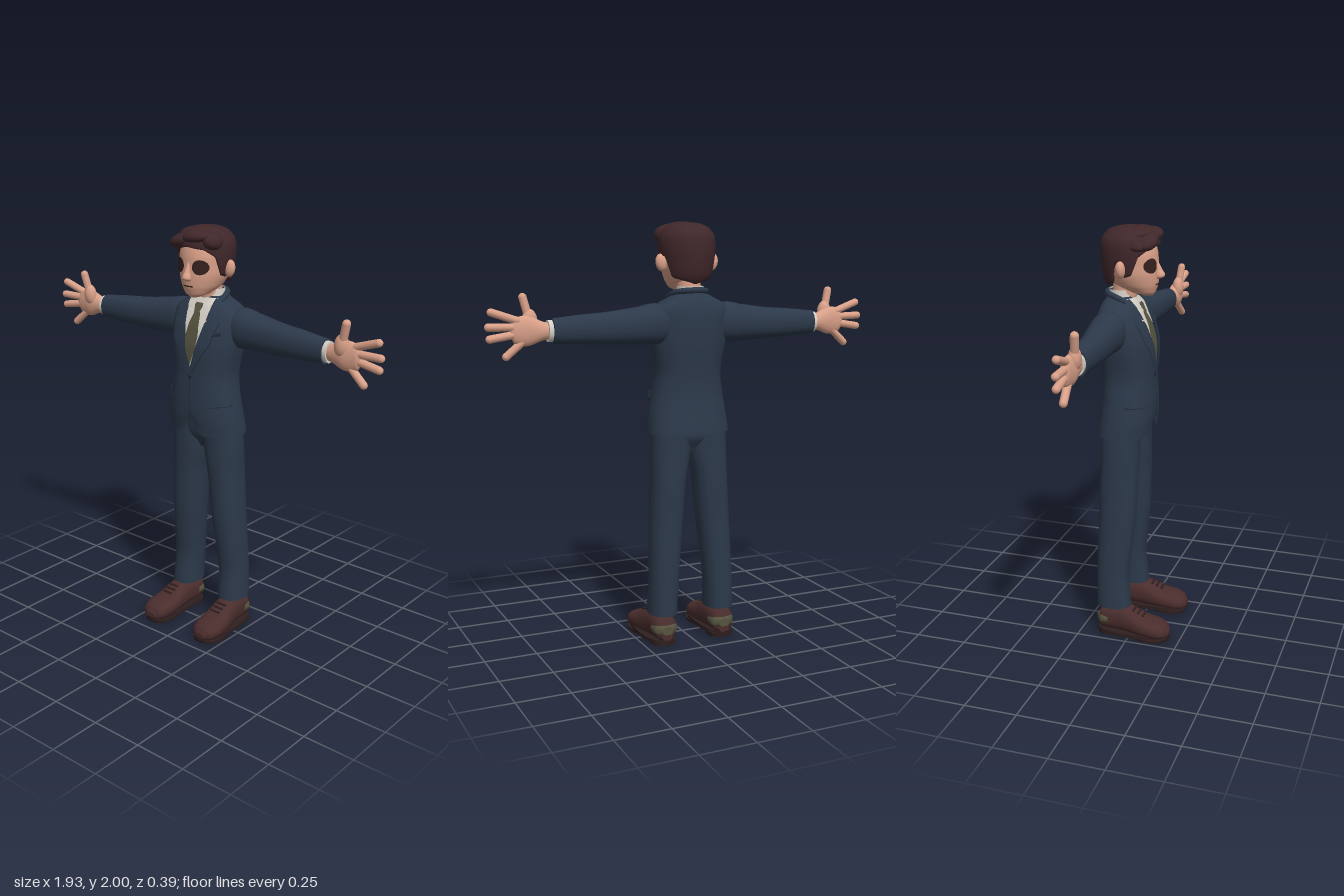
import * as THREE from 'three';

const mat = (name, color, side = THREE.FrontSide) => {
  const m = new THREE.MeshStandardMaterial({ color, side });
  m.name = name;
  return m;
};

// Cross-sections are [y, cx, cz, rx, rz]; smooth() adds rounded steps between them
function smooth(rings, steps = 5) {
  const out = [];
  for (let i = 0; i < rings.length - 1; i++) {
    const [p, a, b, q] = [rings[Math.max(i - 1, 0)], rings[i], rings[i + 1], rings[Math.min(i + 2, rings.length - 1)]];
    for (let s = 0; s < steps; s++) {
      const t = s / steps;
      out.push(a.map((v, k) => {
        if (k === 0) return v + (b[0] - v) * t;
        const m0 = (b[k] - p[k]) / 2, m1 = (q[k] - v) / 2;
        return v + m0 * t + (3 * (b[k] - v) - 2 * m0 - m1) * t * t + (2 * (v - b[k]) + m0 + m1) * t * t * t;
      }));
    }
  }
  out.push(rings[rings.length - 1]);
  return out;
}

function ringAt(rings, y) {
  let i = 0;
  while (i < rings.length - 2 && rings[i + 1][0] < y) i++;
  const t = THREE.MathUtils.clamp((y - rings[i][0]) / (rings[i + 1][0] - rings[i][0]), 0, 1);
  return rings[i].map((v, k) => v + (rings[i + 1][k] - v) * t);
}

const pow = (v, n) => Math.sign(v) * Math.abs(v) ** (2 / n);
const onRing = ([y, cx, cz, rx, rz], a, n) => [cx + rx * pow(Math.sin(a), n), y, cz + rz * pow(Math.cos(a), n)];

// Depth of the front of a lofted body at x, y
function frontZ(rings, x, y, off, n) {
  const [, , cz, rx, rz] = ringAt(rings, y);
  const f = Math.min(Math.abs(x) / (rx + off), 1);
  return cz + (rz + off) * (1 - f ** n) ** (1 / n);
}

// Grid of points, closed around or open
function grid(rows, cols, fn, closed, caps) {
  const pos = [], idx = [];
  const w = closed ? cols : cols + 1;
  for (let i = 0; i <= rows; i++) for (let j = 0; j < w; j++) pos.push(...fn(i, j));
  for (let i = 0; i < rows; i++) for (let j = 0; j < cols; j++) {
    const k = (j + 1) % w, a = i * w + j, b = i * w + k, c = a + w, d = b + w;
    idx.push(a, b, d, a, d, c);
  }
  if (caps) for (const i of [0, rows]) {
    const base = pos.length / 3, mid = [0, 0, 0];
    for (let j = 0; j < w; j++) {
      const p = fn(i, j);
      pos.push(...p);
      p.forEach((v, k) => { mid[k] += v / w; });
    }
    pos.push(...mid);
    for (let j = 0; j < w; j++) {
      const k = (j + 1) % w;
      idx.push(base + w, base + (i ? j : k), base + (i ? k : j));
    }
  }
  const g = new THREE.BufferGeometry();
  g.setAttribute('position', new THREE.Float32BufferAttribute(pos, 3));
  g.setIndex(idx);
  g.computeVertexNormals();
  return g;
}

function loft(rings, { n = 2, cols = 32, caps = true } = {}) {
  const r = smooth(rings);
  return grid(r.length - 1, cols, (i, j) => onRing(r[i], j / cols * Math.PI * 2, n), true, caps);
}
// Lofts running along x [x, y, z, ry, rz] and along z [z, x, y, rx, ry]
const loftX = (rings, o) => loft(rings.map(([s, y, z, ry, rz]) => [s, -y, z, ry, rz]), o).rotateZ(-Math.PI / 2);
const loftZ = (rings, o) => loft(rings.map(([s, x, y, rx, ry]) => [s, x, -y, rx, ry]), o).rotateX(Math.PI / 2);

function mirrored(geo) {
  const g = geo.clone().scale(-1, 1, 1), ix = g.index.array;
  for (let i = 0; i < ix.length; i += 3) [ix[i], ix[i + 1]] = [ix[i + 1], ix[i]];
  return g;
}

function capsule(a, b, r) {
  const A = new THREE.Vector3(...a), d = new THREE.Vector3(...b).sub(A), len = d.length();
  return new THREE.CapsuleGeometry(r, len - r, 6, 12)
    .applyQuaternion(new THREE.Quaternion().setFromUnitVectors(new THREE.Vector3(0, 1, 0), d.clone().normalize()))
    .translate(...A.addScaledVector(d, 0.5).toArray());
}

const ball = (r, c, rot = 0) => new THREE.SphereGeometry(1, 24, 16).scale(...r).rotateZ(rot).translate(...c);

export function createModel() {
  const root = new THREE.Group();
  root.name = 'suitedMan';
  const suit = mat('navy suit', 0x2c394a, THREE.DoubleSide), skin = mat('skin', 0xd9a088);
  const hairMat = mat('dark brown hair', 0x40272a), leather = mat('brown leather', 0x4a2d2d);
  const soleMat = mat('dark sole', 0x2f1f20), olive = mat('olive', 0x55533f, THREE.DoubleSide);
  const white = mat('shirt white', 0xd6d0c6, THREE.DoubleSide), dark = mat('dark eye', 0x35201f, THREE.DoubleSide);
  const trim = mat('dark navy trim', 0x1e2835, THREE.DoubleSide);
  const add = (name, geo, m) => {
    const mesh = new THREE.Mesh(geo, m);
    mesh.name = name;
    root.add(mesh);
  };
  const pair = (name, geo, m) => {
    add('left ' + name, geo, m);
    add('right ' + name, mirrored(geo), m);
  };

  // Jacket body, with the hem cut away at the front
  const torso = smooth([[1.02, 0, -0.065, 0.198, 0.13], [1.1, 0, -0.055, 0.19, 0.129], [1.2, 0, -0.049, 0.174, 0.123],
    [1.31, 0, -0.053, 0.162, 0.121], [1.45, 0, -0.062, 0.184, 0.125], [1.55, 0, -0.077, 0.192, 0.113],
    [1.605, 0, -0.088, 0.187, 0.096], [1.635, 0, -0.092, 0.145, 0.083], [1.66, 0, -0.093, 0.095, 0.069],
    [1.675, 0, -0.092, 0.072, 0.062]]);
  add('jacket', grid(torso.length - 1, 64, (i, j) => {
    const p = onRing(torso[i], j / 64 * Math.PI * 2, 2.4);
    const cut = p[2] > 0 ? Math.max(0, 1 - Math.abs(p[0]) / 0.06) * 0.07 : 0;
    p[1] += cut * Math.max(0, 1 - (p[1] - 1.02) / 0.15);
    return p;
  }, true, false), suit);

  // Panels laid over the jacket between an inner and an outer edge
  const panel = (inner, outer, off, vs = 16, us = 8) => {
    const at = (pts, t) => {
      const f = t * (pts.length - 1), i = Math.min(Math.floor(f), pts.length - 2);
      return pts[i].map((v, k) => v + (pts[i + 1][k] - v) * (f - i));
    };
    return grid(vs, us, (i, j) => {
      const a = at(inner, i / vs), b = at(outer, i / vs), u = j / us;
      const x = a[0] + (b[0] - a[0]) * u, y = a[1] + (b[1] - a[1]) * u;
      return [x, y, frontZ(torso, x, y, off, 2.4)];
    }, false, false);
  };
  const flip = (pts) => pts.map(([x, y]) => [-x, y]);
  const symmetric = (name, edge, off, m) => add(name, panel(flip(edge), edge, off), m);
  symmetric('shirt front', [[0, 1.345], [0.03, 1.46], [0.066, 1.59], [0.07, 1.668]], 0.004, white);
  symmetric('tie', [[0, 1.36], [0.03, 1.44], [0.036, 1.5], [0.028, 1.56], [0.017, 1.605]], 0.01, olive);
  symmetric('tie knot', [[0.014, 1.6], [0.024, 1.635], [0.02, 1.645]], 0.015, olive);
  pair('shirt collar wing', panel([[0.04, 1.592], [0.017, 1.642], [0.02, 1.67]], [[0.045, 1.592], [0.07, 1.63], [0.075, 1.668]], 0.01), white);
  pair('lapel', panel([[0.002, 1.335], [0.036, 1.46], [0.063, 1.57]], [[0.012, 1.33], [0.1, 1.47], [0.128, 1.57]], 0.014), suit);
  pair('collar front', panel([[0.063, 1.575], [0.068, 1.62], [0.07, 1.67]], [[0.112, 1.588], [0.106, 1.62], [0.09, 1.662]], 0.015), suit);
  pair('lapel edge', panel([[0.012, 1.33], [0.1, 1.47], [0.128, 1.57]], [[0.016, 1.328], [0.104, 1.468], [0.132, 1.57]], 0.009, 16, 1), trim);
  pair('pocket flap', panel([[0.105, 1.172], [0.105, 1.208]], [[0.181, 1.178], [0.177, 1.214]], 0.01, 3, 14), suit);
  pair('pocket shadow line', panel([[0.103, 1.168], [0.103, 1.174]], [[0.182, 1.173], [0.181, 1.18]], 0.006, 1, 14), trim);
  add('breast pocket', panel([[0.085, 1.502], [0.085, 1.517]], [[0.145, 1.512], [0.145, 1.527]], 0.007, 2, 8), trim);
  add('front closing edge', panel([[-0.002, 1.09], [-0.002, 1.33]], [[0.002, 1.09], [0.002, 1.33]], 0.003, 12, 1), trim);
  add('button', ball([0.011, 0.011, 0.005], [0, 1.305, 0.072]), trim);
  add('jacket collar', new THREE.TubeGeometry(new THREE.CatmullRomCurve3([[0.085, 1.655, -0.04], [0.08, 1.675, -0.09], [0.05, 1.685, -0.14],
    [0, 1.688, -0.158], [-0.05, 1.685, -0.14], [-0.08, 1.675, -0.09], [-0.085, 1.655, -0.04]].map((p) => new THREE.Vector3(...p))), 32, 0.014, 8), suit);
  add('shirt collar', loft([[1.64, 0, -0.088, 0.068, 0.066], [1.705, 0, -0.088, 0.062, 0.062]], { caps: false }), white);

  // Sleeves, cuffs and hands
  pair('sleeve', loftX([[0.13, 1.535, -0.095, 0.085, 0.07], [0.185, 1.535, -0.095, 0.095, 0.081], [0.26, 1.53, -0.093, 0.086, 0.077],
    [0.4, 1.522, -0.082, 0.075, 0.065], [0.53, 1.52, -0.072, 0.067, 0.055], [0.665, 1.517, -0.064, 0.057, 0.046]], { n: 2.2 }), suit);
  pair('cuff', loftX([[0.65, 1.517, -0.063, 0.049, 0.039], [0.685, 1.517, -0.062, 0.049, 0.039]]), white);
  pair('palm', loftX([[0.67, 1.517, -0.061, 0.036, 0.028], [0.71, 1.518, -0.058, 0.044, 0.031], [0.76, 1.52, -0.053, 0.065, 0.032],
    [0.8, 1.52, -0.052, 0.067, 0.026], [0.835, 1.52, -0.052, 0.054, 0.021], [0.85, 1.52, -0.052, 0.03, 0.012]]), skin);
  pair('thumb base', ball([0.034, 0.052, 0.028], [0.757, 1.565, -0.037], -0.1), skin);
  pair('thumb', capsule([0.762, 1.575, -0.036], [0.787, 1.676, -0.025], 0.019), skin);
  [['index finger', 0.81, 1.563, 0.943, 1.608], ['middle finger', 0.82, 1.537, 0.957, 1.54],
    ['ring finger', 0.82, 1.507, 0.952, 1.486], ['little finger', 0.79, 1.478, 0.878, 1.402]].forEach(([name, x0, y0, x1, y1]) =>
    pair(name, capsule([x0, y0, -0.054], [x1, y1, -0.045], 0.018), skin));

  // Trousers
  pair('trouser leg', loft([[0.148, 0.148, -0.09, 0.068, 0.085], [0.3, 0.142, -0.097, 0.069, 0.078], [0.45, 0.133, -0.088, 0.073, 0.084],
    [0.6, 0.122, -0.078, 0.078, 0.089], [0.8, 0.108, -0.074, 0.083, 0.092], [0.93, 0.095, -0.07, 0.094, 0.091],
    [1.07, 0.09, -0.07, 0.095, 0.09]], { n: 2.3 }), suit);
  add('trouser hips', loft([[0.93, 0, -0.07, 0.08, 0.05], [1, 0, -0.07, 0.18, 0.086], [1.14, 0, -0.06, 0.165, 0.09]], { n: 2.3 }), suit);

  // Shoes
  pair('shoe', loftZ([[-0.166, 0.15, 0.06, 0.03, 0.035], [-0.145, 0.15, 0.08, 0.055, 0.06], [-0.05, 0.152, 0.085, 0.06, 0.07],
    [0.0, 0.155, 0.077, 0.065, 0.066], [0.07, 0.16, 0.06, 0.073, 0.05], [0.14, 0.163, 0.052, 0.072, 0.043],
    [0.18, 0.163, 0.045, 0.055, 0.032], [0.197, 0.163, 0.038, 0.025, 0.014]], { n: 2.3 }), leather);
  pair('shoe heel patch', loftZ([[-0.17, 0.15, 0.075, 0.028, 0.02], [-0.146, 0.15, 0.08, 0.058, 0.034], [-0.105, 0.151, 0.08, 0.063, 0.026]], { n: 2.6 }), olive);
  pair('shoe sole', loft([[0.01, 0.158, 0.016, 0.073, 0.183], [0.028, 0.158, 0.016, 0.073, 0.183]], { n: 2.5 }), soleMat);
  pair('front tread', loft([[0, 0.16, 0.105, 0.074, 0.09], [0.015, 0.16, 0.105, 0.076, 0.094]], { n: 2.4 }), soleMat);
  pair('heel block', loft([[0, 0.152, -0.108, 0.06, 0.056], [0.02, 0.152, -0.108, 0.06, 0.058]], { n: 2.6 }), soleMat);
  for (const [i, z] of [0.02, 0.045, 0.07].entries())
    pair('lace ' + (i + 1), capsule([0.13, 0.138 - i * 0.01, z], [0.185, 0.138 - i * 0.01, z], 0.005), soleMat);

  // Head and face
  const headRings = [[1.68, 0, 0.035, 0.022, 0.025], [1.695, 0, 0.013, 0.058, 0.058], [1.73, 0, -0.02, 0.09, 0.102],
    [1.78, 0, -0.035, 0.111, 0.12], [1.83, 0, -0.042, 0.117, 0.124], [1.88, 0, -0.046, 0.118, 0.124],
    [1.93, 0, -0.05, 0.1, 0.11], [1.97, 0, -0.05, 0.05, 0.06]];
  const head = smooth(headRings);
  add('neck', loft([[1.62, 0, -0.085, 0.056, 0.056], [1.74, 0, -0.07, 0.056, 0.06]]), skin);
  add('head', loft(headRings, { cols: 48 }), skin);
  add('nose', loft([[1.757, 0, 0.08, 0.008, 0.008], [1.766, 0, 0.09, 0.02, 0.02], [1.778, 0, 0.093, 0.021, 0.023],
    [1.8, 0, 0.084, 0.013, 0.02], [1.845, 0, 0.07, 0.008, 0.012]], { cols: 20 }), skin);
  pair('ear', ball([0.028, 0.041, 0.022], [0.13, 1.812, -0.055], -0.2), skin);
  const drape = (geo, x, y, off) => {
    geo.translate(x, y, 0);
    const p = geo.attributes.position;
    for (let i = 0; i < p.count; i++) p.setZ(i, frontZ(head, p.getX(i), p.getY(i), off, 2));
    geo.computeVertexNormals();
    return geo;
  };
  pair('eye', drape(new THREE.RingGeometry(0.0005, 0.034, 28, 5), 0.058, 1.825, 0.004), dark);
  add('mouth', drape(new THREE.PlaneGeometry(0.056, 0.006, 10, 1), 0, 1.735, 0.003), dark);

  // Hair cap with a hairline that dips in front of and behind the ears
  const hair = smooth([[1.7, 0, -0.06, 0.088, 0.085], [1.75, 0, -0.052, 0.113, 0.121], [1.82, 0, -0.05, 0.127, 0.135],
    [1.89, 0, -0.05, 0.134, 0.138], [1.94, 0, -0.047, 0.128, 0.134], [1.975, 0, -0.045, 0.098, 0.108],
    [1.992, 0, -0.045, 0.055, 0.063], [1.998, 0, -0.045, 0.002, 0.002]]);
  const line = [[0, 1.915], [35, 1.905], [58, 1.87], [72, 1.785], [86, 1.775], [94, 1.845], [106, 1.84], [118, 1.745], [180, 1.715]];
  const hairline = (deg) => {
    const i = Math.max(1, line.findIndex((p) => p[0] >= deg));
    return THREE.MathUtils.mapLinear(deg, line[i - 1][0], line[i][0], line[i - 1][1], line[i][1]);
  };
  add('hair', grid(25, 80, (i, j) => {
    const deg = j / 80 * 360, low = hairline(deg > 180 ? 360 - deg : deg);
    const t = Math.sin(Math.max(0, i - 1) / 24 * Math.PI / 2);
    const [, cx, cz, rx, rz] = ringAt(hair, low + (1.998 - low) * t), s = i ? 1 : 0.84;
    return onRing([low + (1.998 - low) * t, cx, cz, rx * s, rz * s], deg * Math.PI / 180, 2);
  }, true, false), hairMat);
  // Swept fringe
  [[[0.075, 0.034, 0.05], [-0.055, 1.935, 0.048], 0.3], [[0.08, 0.032, 0.055], [0.015, 1.957, 0.044], 0.12],
    [[0.05, 0.026, 0.05], [-0.088, 1.925, 0.02], 0.4], [[0.045, 0.04, 0.055], [0.088, 1.94, 0.015], -0.5],
    [[0.085, 0.028, 0.07], [-0.015, 1.97, 0.0], 0.1]].forEach(([r, c, rot], i) => add('fringe lock ' + (i + 1), ball(r, c, rot), hairMat));

  return root;
}
